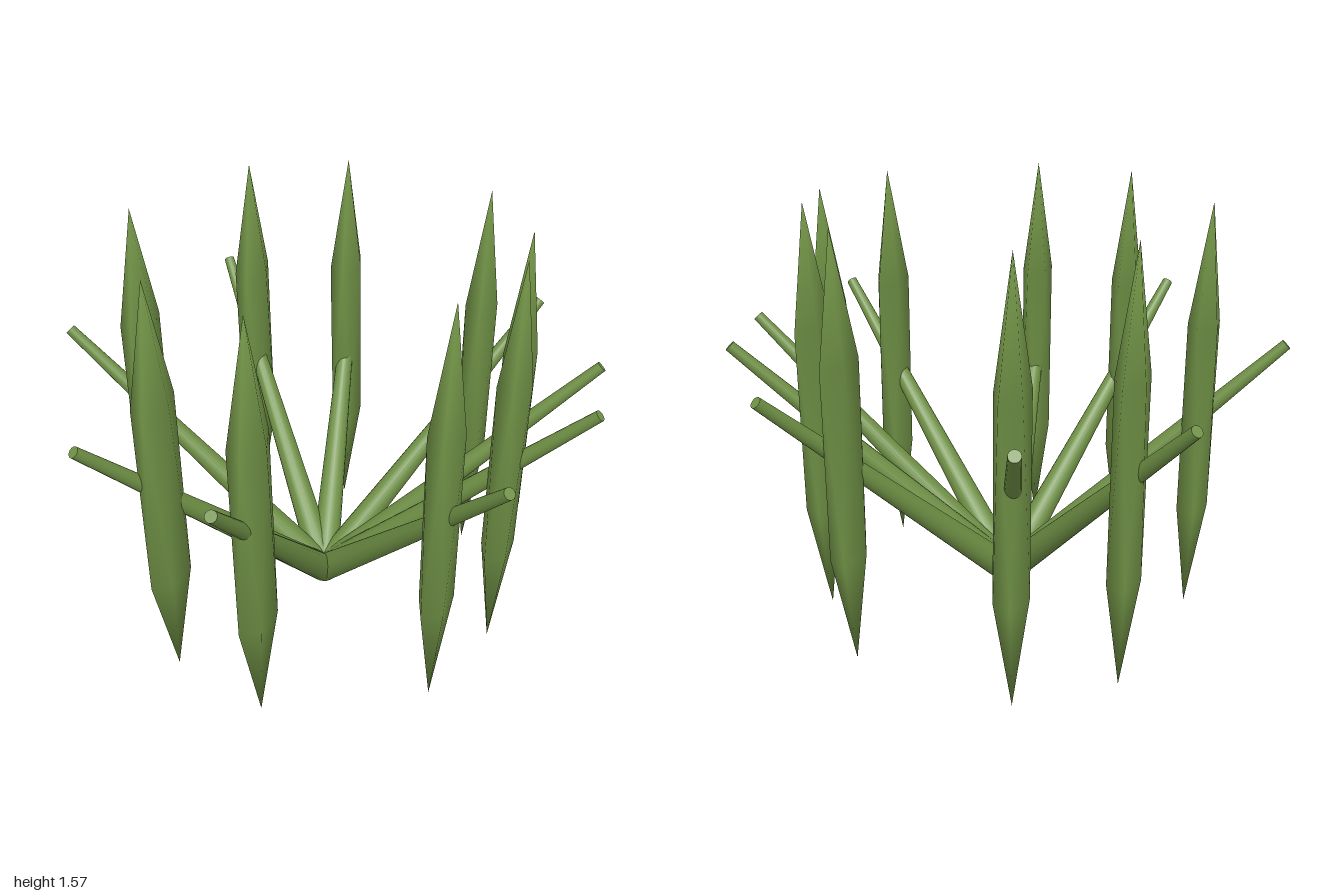
import * as THREE from 'three';

const BASE = new THREE.Vector3(0, 0.105, -0.02);
const LEAF_RADIUS = 0.693; // distance of each leaf from the root
const TIP_RADIUS = 0.982;  // distance of each stalk tip from the root

// Offsets of the leaves from the root (x, z), which set the stalk directions
const DIRECTIONS = [
  [0.69, 0.0], [0.65, -0.235], [0.42, -0.55], [-0.185, -0.67], [-0.52, -0.47],
  [-0.69, 0.12], [-0.335, 0.61], [0.052, 0.69], [0.58, 0.38],
];

// Pointed pod: two poles and two staggered five-point rings, smooth shaded
function leafGeometry(rx, h, rz) {
  const ringY = h / Math.sqrt(5);
  const points = [0, h, 0];
  for (const [y, turn] of [[ringY, 0], [-ringY, Math.PI / 5]]) {
    for (let i = 0; i < 5; i++) {
      const a = turn + (i * Math.PI * 2) / 5;
      points.push(rx * Math.cos(a), y, rz * Math.sin(a));
    }
  }
  points.push(0, -h, 0);
  const faces = [];
  for (let i = 0; i < 5; i++) {
    const u = 1 + i, u2 = 1 + ((i + 1) % 5);
    const l = 6 + i, l2 = 6 + ((i + 1) % 5);
    faces.push(0, u2, u, u, u2, l, u2, l2, l, 11, l, l2);
  }
  const geometry = new THREE.BufferGeometry();
  geometry.setAttribute('position', new THREE.Float32BufferAttribute(points, 3));
  geometry.setIndex(faces);
  geometry.computeVertexNormals();
  return geometry;
}

export function createModel() {
  const model = new THREE.Group();
  model.name = 'plant';
  const green = new THREE.MeshStandardMaterial({ color: 0x6f9045 });
  green.name = 'leaf green';

  const rise = 0.97;
  const stalkGeo = new THREE.CylinderGeometry(0.02, 0.056, Math.hypot(TIP_RADIUS, rise), 16);
  const leafGeo = leafGeometry(0.059, 0.787, 0.105);
  const up = new THREE.Vector3(0, 1, 0);

  DIRECTIONS.forEach(([x, z], i) => {
    const out = new THREE.Vector3(x, 0, z).normalize();

    // Tapered stalk leaning outward from the root
    const axis = out.clone().multiplyScalar(TIP_RADIUS).setY(rise);
    const stalk = new THREE.Mesh(stalkGeo, green);
    stalk.name = `stalk${i + 1}`;
    stalk.position.copy(BASE).addScaledVector(axis, 0.5);
    stalk.quaternion.setFromUnitVectors(up, axis.clone().normalize());

    // Upright leaf threaded on the stalk
    const leaf = new THREE.Mesh(leafGeo, green);
    leaf.name = `leaf${i + 1}`;
    leaf.position.copy(BASE).addScaledVector(out, LEAF_RADIUS).setY(0.787);

    model.add(stalk, leaf);
  });
  return model;
}
